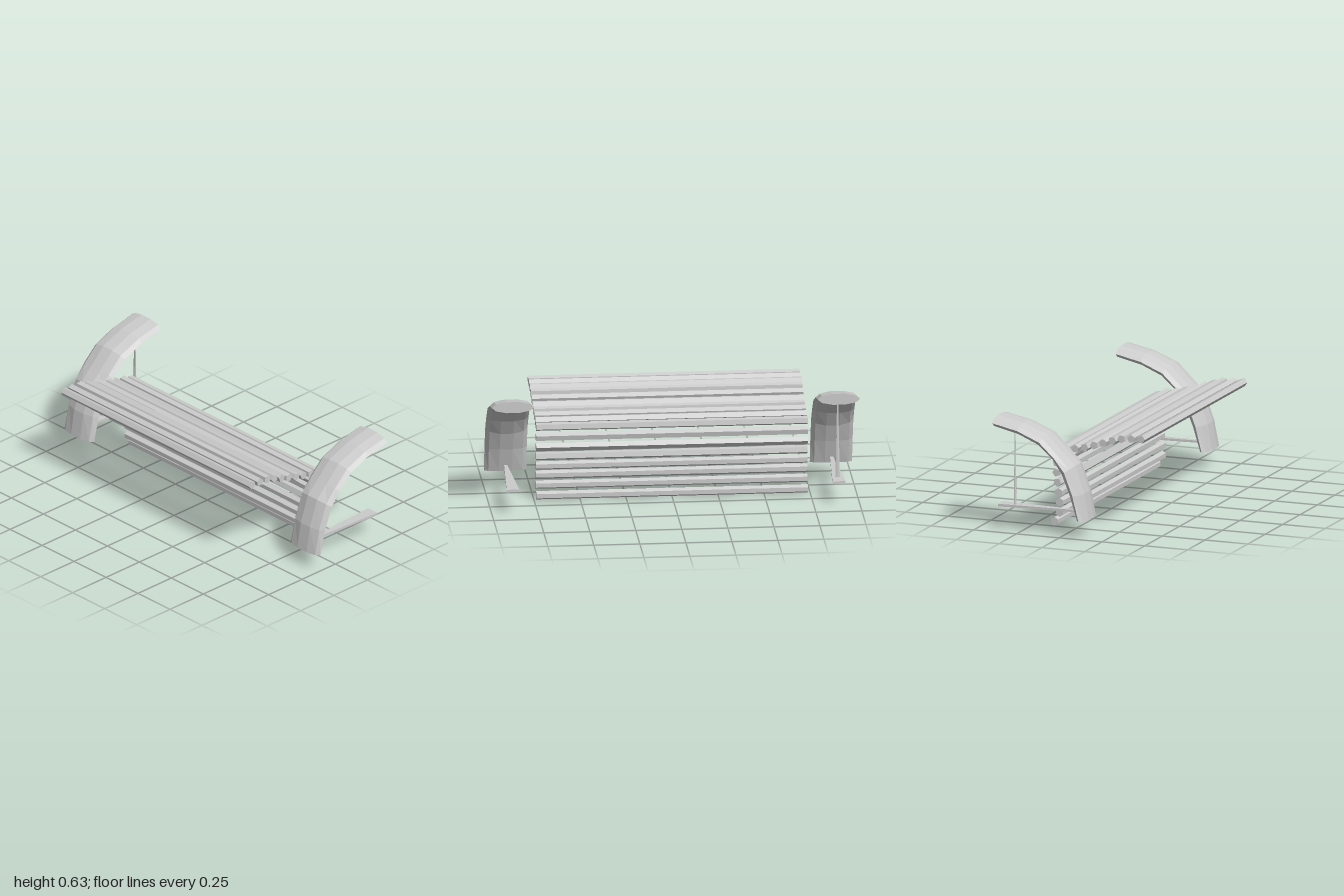
import * as THREE from 'three';

const material = new THREE.MeshStandardMaterial({ color: 0xcccccc, flatShading: true });

function add(group, name, geometry, x = 0, y = 0, z = 0) {
  const mesh = new THREE.Mesh(geometry, material);
  mesh.name = name;
  mesh.position.set(x, y, z);
  group.add(mesh);
}

// Skin a solid through rings of equal point count, with closed ends
function loft(rings) {
  const n = rings[0].length, index = [];
  for (let i = 0; i < rings.length - 1; i++) {
    for (let j = 0; j < n; j++) {
      const a = i * n + j, b = i * n + (j + 1) % n;
      index.push(a, b, a + n, b, b + n, a + n);
    }
  }
  const last = (rings.length - 1) * n;
  for (let j = 1; j < n - 1; j++) {
    index.push(0, j + 1, j, last, last + j, last + j + 1);
  }
  const geometry = new THREE.BufferGeometry().setFromPoints(rings.flat());
  geometry.setIndex(index);
  const flat = geometry.toNonIndexed();
  flat.computeVertexNormals();
  return flat;
}

// Curved arm: outer z, outer y, inner z, inner y at each station
const armStations = [
  [0.142, 0.095, 0.082, 0.099],
  [0.117, 0.24, 0.035, 0.235],
  [0.063, 0.39, -0.008, 0.335],
  [-0.005, 0.455, -0.06, 0.422],
  [-0.1, 0.55, -0.138, 0.488],
  [-0.24, 0.605, -0.25, 0.537],
  [-0.39, 0.635, -0.39, 0.57],
];

function armGeometry() {
  const sides = 10;
  return loft(armStations.map(([oz, oy, iz, iy]) =>
    Array.from({ length: sides }, (_, j) => {
      const a = -j / sides * Math.PI * 2;
      const t = (1 + Math.sin(a)) / 2;
      return new THREE.Vector3(0.115 * Math.cos(a), iy + (oy - iy) * t, iz + (oz - iz) * t);
    })));
}

// Flat foot bar, widening towards the back
function footBarGeometry() {
  const ring = (z, w, h) => [[-w, -h], [w, -h], [w, h], [-w, h]]
    .map(([x, y]) => new THREE.Vector3(x, y, z));
  return loft([ring(-0.39, 0.035, 0.007), ring(0.08, 0.008, 0.006)]);
}

// Slat centres (z, y) from the seat front, over the back edge and down
const slats = [
  [0.37, 0.522], [0.313, 0.52], [0.256, 0.515], [0.203, 0.5], [0.148, 0.483],
  [0.096, 0.465], [0.04, 0.448], [-0.015, 0.437], [-0.07, 0.427], [-0.125, 0.408],
  [-0.122, 0.35], [-0.124, 0.295], [-0.118, 0.24], [-0.11, 0.185],
  [-0.104, 0.132], [-0.104, 0.075], [-0.134, 0.024],
];

export function createModel() {
  const model = new THREE.Group();
  model.name = 'slattedBench';

  // Round slats with few sides
  slats.forEach(([z, y], i) => {
    const sides = i < 13 ? 5 : 6;
    const slat = new THREE.CylinderGeometry(0.0235, 0.0235, 1.475, sides);
    slat.rotateY(sides === 5 ? i * 0.4 : Math.PI / 6);
    slat.rotateZ(Math.PI / 2);
    add(model, i < 10 ? 'seatSlat' : 'lowerSlat', slat, 0, y, z);
  });

  for (const side of [-1, 1]) {
    const x = side * 0.885;
    add(model, side > 0 ? 'leftArm' : 'rightArm', armGeometry(), x);
    add(model, 'footBar', footBarGeometry(), x, 0.131);
  }

  // Slim tapered rod under the right arm, broader across than deep
  const rod = new THREE.CylinderGeometry(0.002, 0.007, 0.42, 6);
  rod.scale(2, 1, 1);
  add(model, 'supportRod', rod, -0.885, 0.343, -0.304);

  return model;
}
